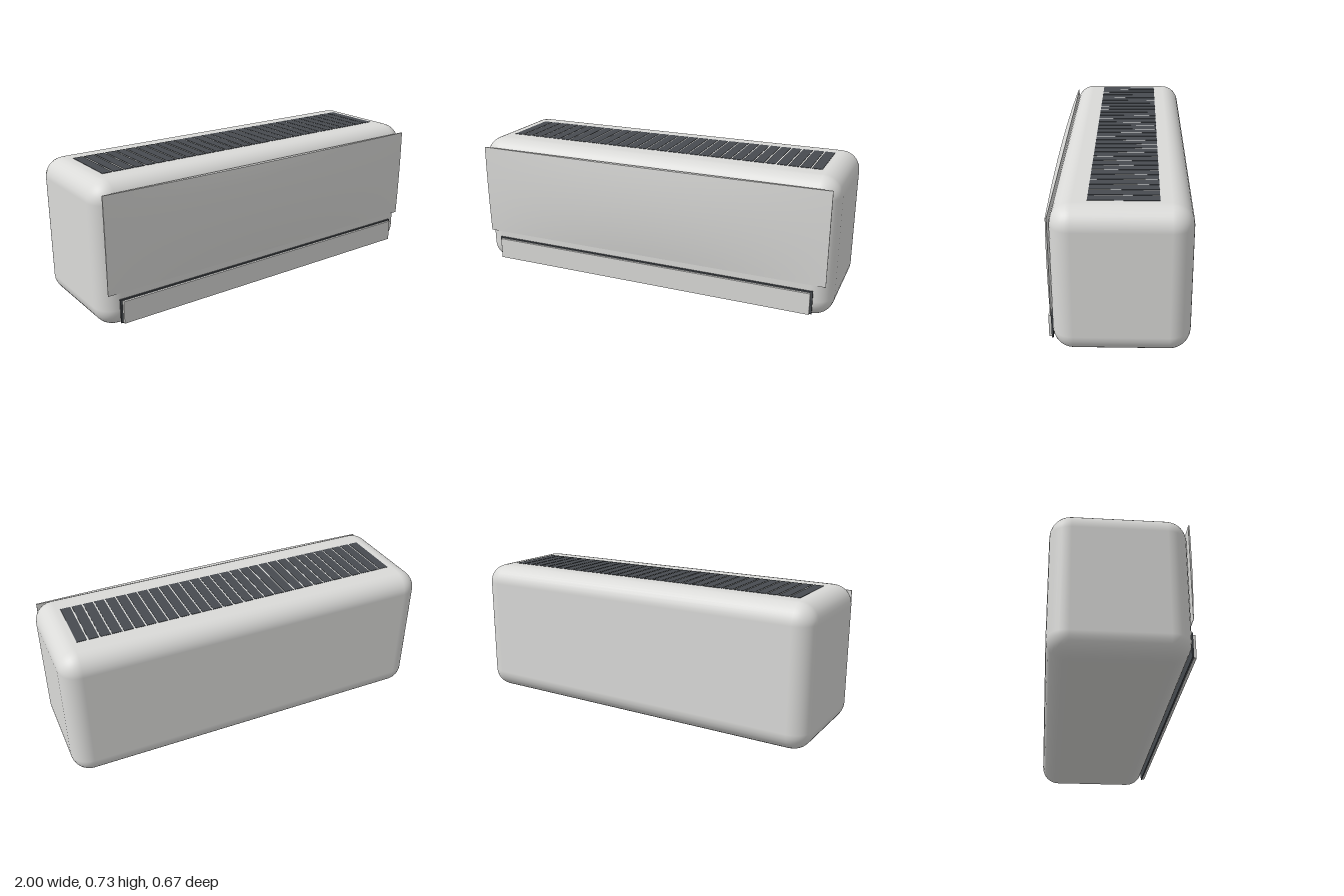
import * as THREE from 'three';
import { RoundedBoxGeometry } from 'three/addons/geometries/RoundedBoxGeometry.js';

const FRONT = 0.308, BACK = -0.333, HEIGHT = 0.73;

export function createModel() {
  const group = new THREE.Group();
  const casing = new THREE.MeshStandardMaterial({ color: 0xdadad8 });
  casing.name = 'casing grey';
  const dark = new THREE.MeshStandardMaterial({ color: 0x474b50 });
  dark.name = 'vent charcoal';

  const add = (name, geometry, material, x, y, z, parent = group) => {
    const mesh = new THREE.Mesh(geometry, material);
    mesh.name = name;
    mesh.position.set(x, y, z);
    parent.add(mesh);
    return mesh;
  };

  // Rounded main casing
  add('casing', new RoundedBoxGeometry(2, HEIGHT, FRONT - BACK, 4, 0.1), casing,
    0, HEIGHT / 2, (FRONT + BACK) / 2);

  // Front cover: a thin box whose front face bulges and tapers to the bottom
  const w = 1.94, h = 0.497, bottom = 0.19;
  const cover = new THREE.BoxGeometry(w, h, 0.02, 32, 16, 1);
  const p = cover.attributes.position;
  for (let i = 0; i < p.count; i++) {
    const t = p.getY(i) / h + 0.5;
    const u = p.getX(i) / (w / 2);
    const depth = 0.002 + 0.018 * t + 0.0587 * t * (1 - t);
    p.setZ(i, p.getZ(i) > 0 ? 0.001 + depth * (1 - 0.75 * u * u) : 0);
  }
  cover.computeVertexNormals();
  add('frontCover', cover, casing, 0, bottom + h / 2, FRONT);

  // Air outlet with its flap in front
  add('outletRecess', new THREE.BoxGeometry(1.82, 0.123, 0.008), dark, 0, 0.0965, 0.311);
  add('outletFlap', new THREE.BoxGeometry(1.8, 0.115, 0.012), casing, 0, 0.0935, 0.322);

  // Row of intake slots on the top
  const vents = new THREE.Group();
  vents.name = 'topVents';
  group.add(vents);
  const count = 30, pitch = 1.766 / count;
  const slot = new THREE.BoxGeometry(pitch - 0.008, 0.004, 0.32);
  for (let i = 0; i < count; i++) {
    add('ventSlot', slot, dark, (i - (count - 1) / 2) * pitch, HEIGHT, -0.02, vents);
  }

  return group;
}
